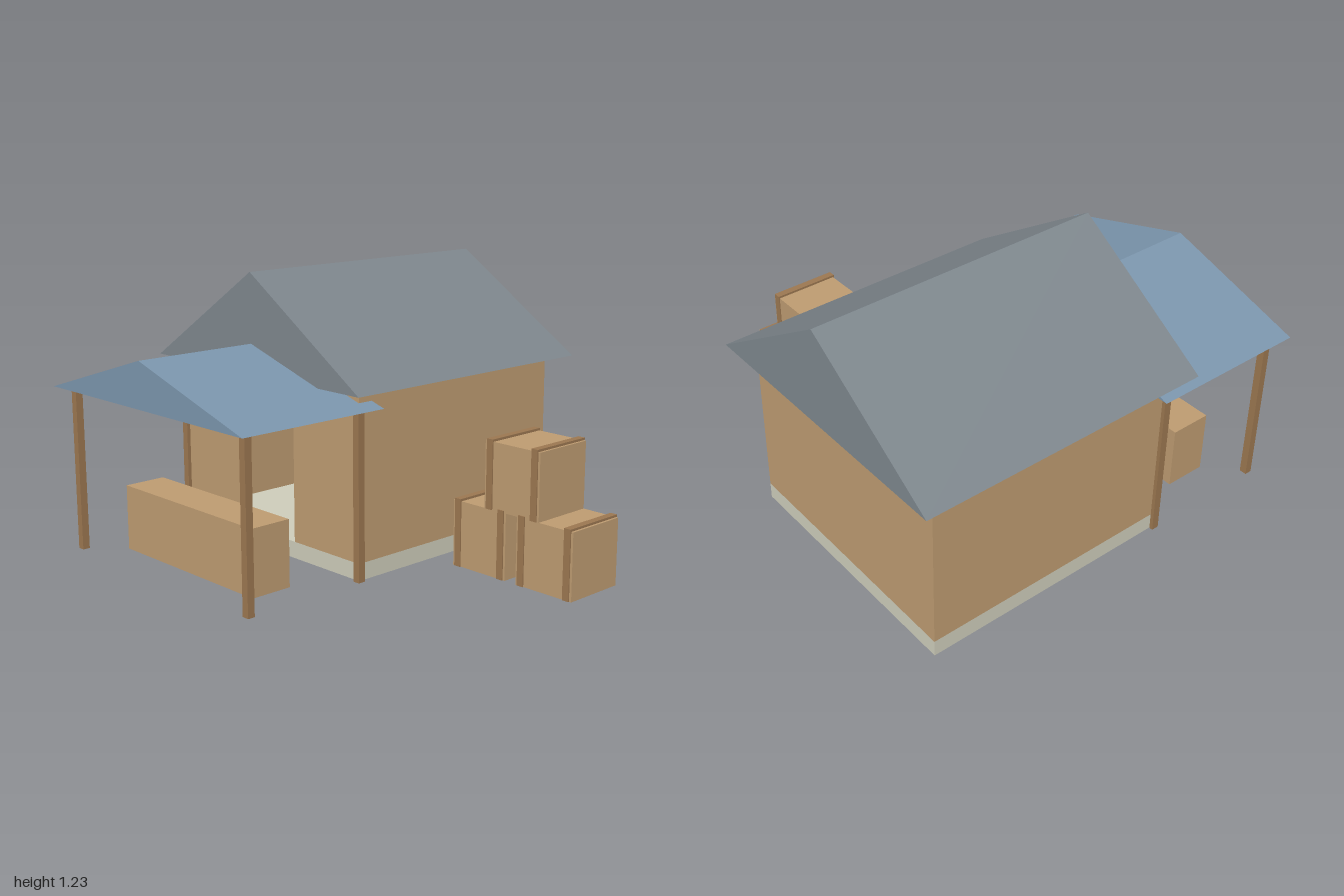
import * as THREE from 'three';

const material = (color) => new THREE.MeshStandardMaterial({ color, flatShading: true });
const wood = material(0xbc9a70);
const darkWood = material(0x9a7650);
const stone = material(0xcccbb9);
const slate = material(0x7d868c);
const blue = material(0x7a94ab);

// Box given by its lower and upper corner
function box(name, mat, [x0, y0, z0], [x1, y1, z1]) {
  const mesh = new THREE.Mesh(new THREE.BoxGeometry(x1 - x0, y1 - y0, z1 - z0), mat);
  mesh.position.set((x0 + x1) / 2, (y0 + y1) / 2, (z0 + z1) / 2);
  mesh.name = name;
  return mesh;
}

// Outline in the xy plane, extruded from z0 to z1
function prism(name, mat, points, z0, z1) {
  const shape = new THREE.Shape(points.map(([x, y]) => new THREE.Vector2(x, y)));
  const geometry = new THREE.ExtrudeGeometry(shape, { depth: z1 - z0, bevelEnabled: false });
  const mesh = new THREE.Mesh(geometry, mat);
  mesh.position.z = z0;
  mesh.name = name;
  return mesh;
}

// House plan
const CX = -0.334, HALF = 0.58;
const L = CX - HALF, R = CX + HALF;
const FRONT = 0.3, BACK = -0.86, FLOOR = 0.076, EAVE = 0.8, WALL = 0.045;

function gable(name, mat, half, y0, y1, z0, z1) {
  return prism(name, mat, [[CX - half, y0], [CX + half, y0], [CX, y1]], z0, z1);
}

function post(name, x, z, top) {
  const r = 0.0165;
  return box(name, darkWood, [x - r, 0, z - r], [x + r, top, z + r]);
}

// Crate with two straps standing slightly proud of it
function crate(x, y, z) {
  const group = new THREE.Group();
  group.name = 'crate';
  const h = 0.1445, s = 0.1495;
  group.add(box('crateBody', wood, [-h, 0, -h], [h, 2 * h, h]));
  for (const side of [-1, 1]) {
    const c = side * 0.118;
    group.add(box('crateStrap', darkWood, [c - 0.016, 0, -s], [c + 0.016, 0.299, s]));
  }
  group.position.set(x, y, z);
  return group;
}

export function createModel() {
  const model = new THREE.Group();
  model.name = 'marketHut';

  // Foundation and walls, with a doorway in the front wall
  model.add(box('foundation', stone, [L, 0.002, BACK], [R, FLOOR, FRONT]));
  model.add(box('leftWall', wood, [R - WALL, FLOOR, BACK], [R, EAVE, FRONT - WALL]));
  model.add(box('rightWall', wood, [L, FLOOR, BACK], [L + WALL, EAVE, FRONT - WALL]));
  model.add(box('backWall', wood, [L + WALL, FLOOR, BACK], [R - WALL, EAVE, BACK + WALL]));
  const d0 = -0.51, d1 = -0.16, doorTop = 0.655;
  model.add(prism('frontWall', wood, [
    [L, FLOOR], [d0, FLOOR], [d0, doorTop], [d1, doorTop], [d1, FLOOR],
    [R, FLOOR], [R, EAVE], [L, EAVE],
  ], FRONT - WALL, FRONT));

  // Main roof and porch awning
  model.add(gable('roof', slate, 0.666, EAVE, 1.234, -0.95, 0.381));
  model.add(gable('awning', blue, 0.652, 0.73, 0.93, 0.228, 0.95));

  // Posts: porch front, house front corners, and inside the back corners
  for (const side of [-1, 1]) {
    model.add(post('porchPost', CX + side * HALF, 0.88, 0.74));
    model.add(post('cornerPost', CX + side * HALF, FRONT, 0.74));
    model.add(post('backPost', CX + side * (HALF - 0.02), BACK + 0.02, 0.74));
  }

  // Sales counter
  model.add(box('counter', wood, [-0.77, 0, 0.55], [0.1, 0.29, 0.742]));

  // Stacked crates
  const crateZ = -0.285;
  model.add(crate(0.508, 0, crateZ), crate(0.8555, 0, crateZ), crate(0.68, 0.289, crateZ));

  return model;
}
